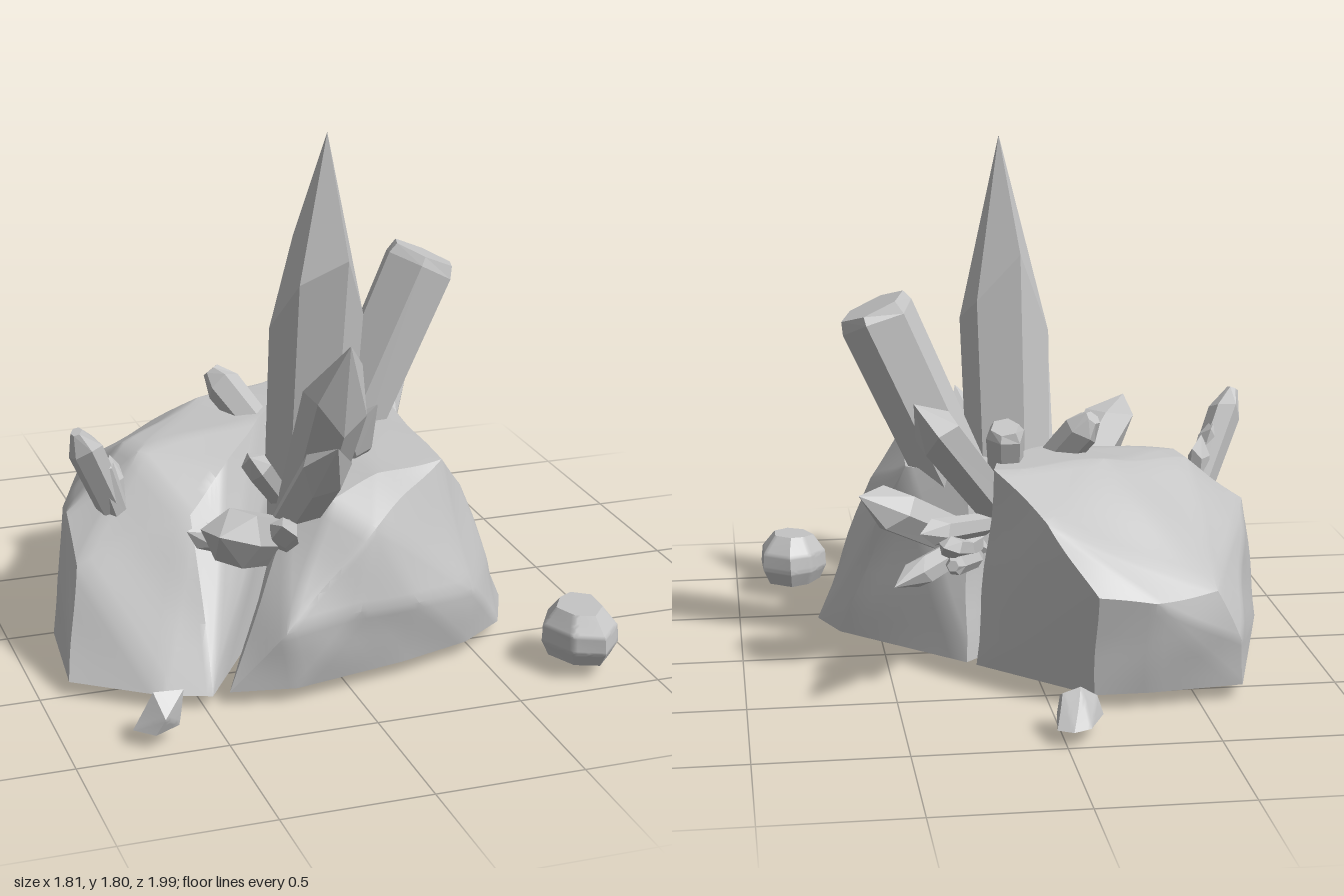
import * as THREE from 'three';
import { toCreasedNormals } from 'three/addons/utils/BufferGeometryUtils.js';
import { ConvexGeometry } from 'three/addons/geometries/ConvexGeometry.js';

const GROUND = 0.045;
const stone = new THREE.MeshStandardMaterial({ color: 0xc4c4c4 });
stone.name = 'stone grey';

const V = (p) => new THREE.Vector3(...p);

// Split every triangle of a hull into four, several times over
function subdivide(geo, levels) {
  let tris = [];
  const p = geo.attributes.position;
  for (let i = 0; i < p.count; i++) tris.push(new THREE.Vector3().fromBufferAttribute(p, i));
  for (let l = 0; l < levels; l++) {
    const next = [];
    for (let i = 0; i < tris.length; i += 3) {
      const [a, b, c] = tris.slice(i, i + 3);
      const [ab, bc, ca] = [[a, b], [b, c], [c, a]].map(([u, v]) => u.clone().lerp(v, 0.5));
      next.push(a, ab, ca, ab, b, bc, ca, bc, c, ab, bc, ca);
    }
    tris = next.map((v) => v.clone());
  }
  return tris;
}

// Faceted stone: a hull, finely divided and gently weathered above the ground
function boulder(name, points, crease = 0.5) {
  const tris = subdivide(new ConvexGeometry(points.map(V)), 3);
  for (const v of tris) {
    const { x, y, z } = v;
    const k = 0.006 * Math.min(1, (y - GROUND) * 6);
    v.x += k * Math.sin(13 * y + 9 * z);
    v.y += k * Math.sin(11 * x - 12 * z + 1);
    v.z += k * Math.sin(12 * x + 10 * y + 2);
  }
  const geo = new THREE.BufferGeometry().setFromPoints(tris);
  const mesh = new THREE.Mesh(toCreasedNormals(geo, crease), stone);
  mesh.name = name;
  return mesh;
}

// Six-sided crystal from base to tip; end is the radius left at the tip
function crystal(name, base, tip, r, point, end = 0, turn = 0.3) {
  const axis = V(tip).sub(V(base));
  const L = axis.length();
  const profile = [[0, 0], [r * 0.88, 0], [r, L - point], [end, L], [0, L]];
  const geo = new THREE.LatheGeometry(profile.map((q) => new THREE.Vector2(...q)), 6, turn);
  const pos = geo.attributes.position;
  // stagger the shoulder so the tip facets differ
  for (let s = 0; s <= 6; s++) {
    const i = s * profile.length + 2;
    pos.setY(i, pos.getY(i) + point * 0.28 * Math.sin((s % 6) * 2.3 + turn * 5));
  }
  const flat = geo.toNonIndexed();
  flat.computeVertexNormals();
  const mesh = new THREE.Mesh(flat, stone);
  mesh.name = name;
  mesh.position.set(...base);
  mesh.quaternion.setFromUnitVectors(new THREE.Vector3(0, 1, 0), axis.normalize());
  return mesh;
}

export function createModel() {
  const model = new THREE.Group();
  model.name = 'crystalRock';
  const G = GROUND;

  // Two halves of the split rock
  model.add(boulder('backRock', [
    [-0.48, G, 0.75], [-0.64, G, 0.69], [-0.9, G, 0.5], [-0.86, G, 0.11], [-0.65, G, -0.62],
    [-0.33, G, -0.66], [-0.14, G, -0.66], [0.21, G, -0.3], [0.13, G, -0.24],
    [-0.14, 0.39, -0.71], [-0.33, 0.37, -0.72], [-0.55, 0.38, -0.64], [-0.64, 0.2, -0.64],
    [-0.81, 0.49, 0.12], [-0.83, 0.38, 0.33],
    [-0.58, 0.67, 0], [-0.55, 0.68, 0.12], [-0.44, 0.54, 0.38], [-0.28, 0.64, 0.26],
    [-0.1, 0.73, 0.05], [0.12, 0.74, -0.2], [0.15, 0.74, -0.33], [0, 0.6, -0.55], [-0.25, 0.73, -0.2],
  ]));
  model.add(boulder('frontRock', [
    [-0.42, G, 0.74], [-0.2, G, 0.78], [0.2, G, 0.7], [0.46, G, 0.62], [0.63, G, 0.5],
    [0.72, G, 0.3], [0.65, G, 0.13], [0.24, G, -0.27], [0.18, G, -0.21],
    [-0.24, 0.25, 0.8], [0.02, 0.3, 0.8], [0.24, 0.27, 0.74], [0.47, 0.25, 0.64],
    [0.6, 0.26, 0.45], [0.53, 0.45, 0.05], [-0.15, 0.57, 0.56], [-0.04, 0.63, 0.62], [0.15, 0.67, 0.56],
    [0.41, 0.67, 0.48], [0.42, 0.69, -0.05], [0.22, 0.69, -0.15], [0, 0.66, 0.2], [0.08, 0.56, 0.73],
    [0.52, 0.53, 0.4],
  ]));

  // Large crystals growing out of the crack: base, tip, radius, point length, end radius
  const large = [
    [[0.03, 0.01, 0.12], [0.05, 1.79, 0.33], 0.158, 0.55],
    [[0.08, 0.25, -0.01], [0.53, 1.25, -0.01], 0.135, 0.04, 0.12],
    [[0, 0.35, 0.2], [-0.05, 1.23, 0.85], 0.11, 0.28],
    [[-0.08, 0.35, 0.25], [-0.14, 0.95, 0.99], 0.08, 0.22],
    [[-0.1, 0.35, 0.25], [-0.52, 0.695, 0.97], 0.1, 0.22],
    [[0.08, 0.5, -0.06], [0.43, 1.0, -0.44], 0.085, 0.15],
    [[0.18, 0.4, -0.06], [0.61, 0.675, -0.365], 0.08, 0.17],
  ];
  // Small crystals tucked around them
  const small = [
    [[0, 0.55, 0.05], [-0.22, 0.86, -0.12], 0.065, 0.06, 0.03],
    [[0.08, 0.6, -0.1], [0.1, 0.86, -0.22], 0.068, 0.03, 0.05],
    [[0.08, 0.55, 0.22], [0.2, 0.87, 0.43], 0.075, 0.15],
    [[0.2, 0.44, -0.14], [0.52, 0.45, -0.68], 0.05, 0.18],
    [[0.22, 0.42, -0.16], [0.35, 0.55, -0.59], 0.04, 0.14],
    [[0.2, 0.38, -0.16], [0.31, 0.46, -0.5], 0.035, 0.04, 0.02],
    [[0.16, 0.5, -0.14], [0.42, 0.58, -0.52], 0.045, 0.12],
    [[-0.25, 0.4, 0.4], [-0.5, 0.54, 0.53], 0.045, 0.1],
    [[-0.25, 0.42, 0.45], [-0.44, 0.57, 0.68], 0.045, 0.1],
    [[-0.12, 0.4, 0.45], [-0.25, 0.62, 0.77], 0.05, 0.1],
    [[-0.08, 0.5, 0.2], [-0.24, 0.72, 0.4], 0.05, 0.08],
  ];
  // Separate little cluster on the back rock
  const side = [
    [[-0.64, 0.47, 0.18], [-0.81, 0.85, 0.32], 0.06, 0.08, 0.02],
    [[-0.64, 0.48, 0.22], [-0.74, 0.77, 0.26], 0.045, 0.08],
    [[-0.65, 0.48, 0.2], [-0.67, 0.71, 0.2], 0.04, 0.07],
  ];
  Object.entries({ largeCrystals: large, smallCrystals: small, sideCrystals: side }).forEach(([name, list]) => {
    const group = new THREE.Group();
    group.name = name;
    list.forEach(([base, tip, r, point, end], i) =>
      group.add(crystal('crystal' + (i + 1), base, tip, r, point, end, 0.3 + i * 0.4)));
    model.add(group);
  });

  // Loose pebbles: the large one is a domed ring, the others small shards
  const outline = [[0.66, 0.8], [0.72, 0.7], [0.8, 0.66], [0.9, 0.73], [0.905, 0.88], [0.82, 0.97], [0.72, 0.93]];
  const rings = [[G, 0.8], [0.1, 1], [0.16, 0.97], [0.222, 0.6]];
  model.add(boulder('largePebble', rings.flatMap(([y, s]) =>
    outline.map(([x, z]) => [0.79 + (x - 0.79) * s, y, 0.81 + (z - 0.81) * s])), 0.8));
  model.add(boulder('frontPebble', [
    [-0.79, G, 0.9], [-0.71, G, 0.85], [-0.64, G, 0.91], [-0.73, G, 0.96],
    [-0.72, 0.165, 0.9], [-0.62, 0.16, 0.9], [-0.7, 0.1, 0.97], [-0.69, 0.13, 0.85],
  ]));
  model.add(boulder('backPebble', [
    [-0.14, G, -0.84], [-0.08, G, -0.97], [-0.02, G, -1], [0.03, G, -0.97], [0.01, G, -0.82], [-0.07, G, -0.82],
    [-0.06, 0.16, -0.88], [0, 0.14, -0.88], [-0.12, 0.11, -0.84], [0, 0.11, -0.82],
  ]));
  return model;
}
